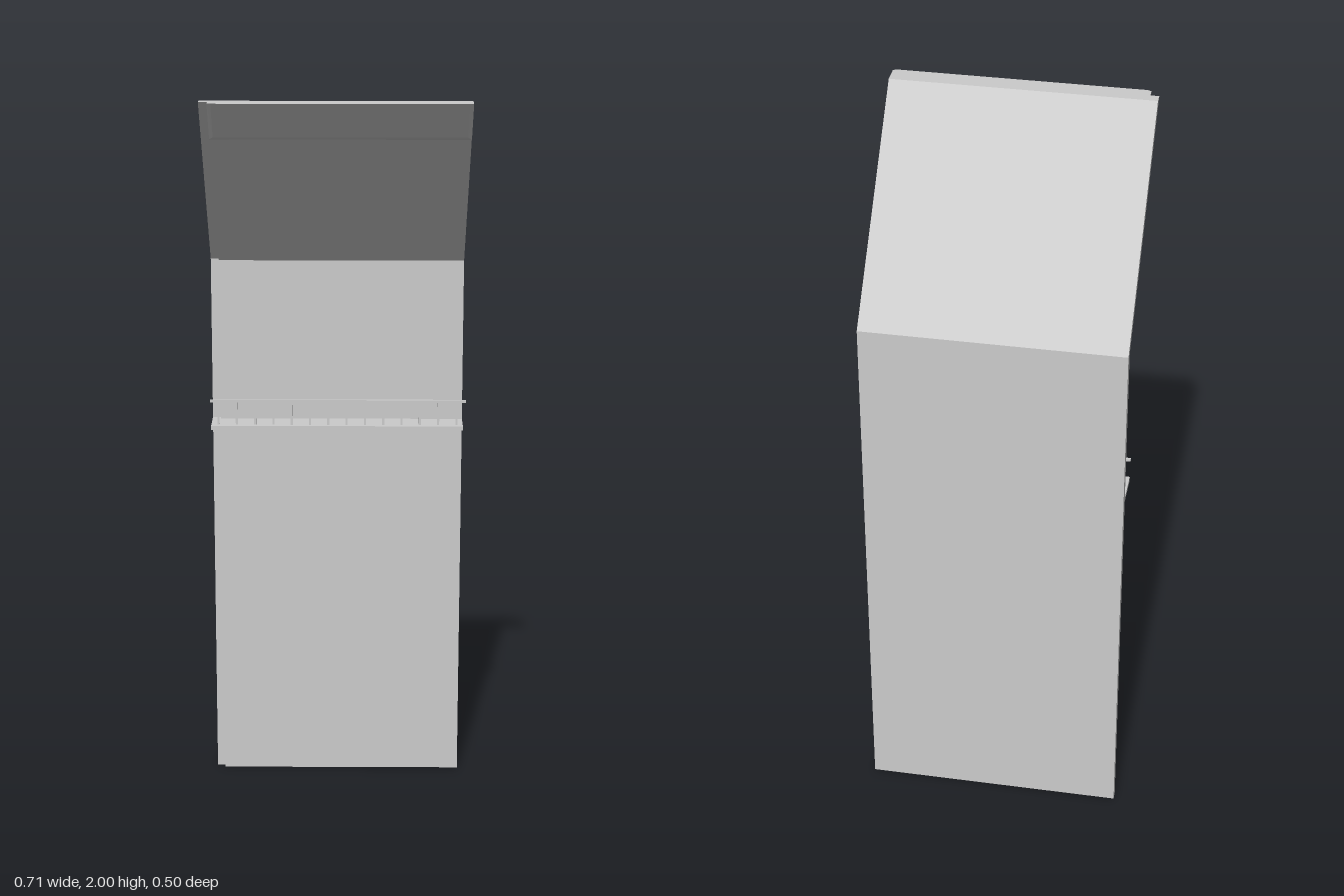
import * as THREE from 'three';
import { ConvexGeometry } from 'three/addons/geometries/ConvexGeometry.js';

const material = new THREE.MeshStandardMaterial({ color: 0xcccccc, flatShading: true });

export function createModel() {
  const group = new THREE.Group();

  function add(name, geometry, parent = group) {
    const mesh = new THREE.Mesh(geometry, material);
    mesh.name = name;
    parent.add(mesh);
    return mesh;
  }

  function box(name, x0, x1, y0, y1, z0, z1, parent) {
    const mesh = add(name, new THREE.BoxGeometry(x1 - x0, y1 - y0, z1 - z0), parent);
    mesh.position.set((x0 + x1) / 2, (y0 + y1) / 2, (z0 + z1) / 2);
  }

  // Bent wall and canopy section, given as (z, y), swept along x
  function bentPanel(name, x0, x1, thickness, bendY) {
    const shape = new THREE.Shape([
      [-0.25, 0], [-0.25 + thickness, 0], [-0.25 + thickness, bendY],
      [0.195 + thickness * 1.08, 2], [0.195, 2], [-0.25, 1.51],
    ].map(([z, y]) => new THREE.Vector2(z, y)));
    const geometry = new THREE.ExtrudeGeometry(shape, { depth: x1 - x0, bevelEnabled: false });
    geometry.rotateY(-Math.PI / 2).translate(x1, 0, 0);
    add(name, geometry);
  }
  bentPanel('wallAndCanopy', -0.33, 0.345, 0.04, 1.505);

  // Thinner lap joint along the right edge
  bentPanel('lapJoint', -0.353, -0.33, 0.025, 1.507);

  // Chamfered lip under the canopy's upper edge
  const lip = [];
  for (const [x0, x1, zTop, zLow, yLow] of [
    [-0.33, 0.345, 0.237, 0.138, 1.892],
    [-0.33, 0.345, 0.245, 0.151, 1.895],
    [-0.32, 0.335, 0.25, 0.164, 1.902],
  ]) {
    for (const x of [x0, x1]) {
      lip.push(new THREE.Vector3(x, 2, zTop), new THREE.Vector3(x, yLow, zLow));
    }
  }
  add('canopyLip', new ConvexGeometry(lip));

  // Walkway with railing
  const walkway = new THREE.Group();
  walkway.name = 'walkway';
  group.add(walkway);
  box('walkwayFloor', -0.353, 0.345, 1.042, 1.054, -0.226, -0.13, walkway);
  box('handrail', -0.356, 0.353, 1.118, 1.125, -0.15, -0.143, walkway);
  for (let i = 0; i < 14; i++) {
    const x = -0.333 + i * 0.0508;
    box('railPost', x - 0.003, x + 0.003, 1.054, 1.119, -0.1495, -0.1435, walkway);
  }

  return group;
}
